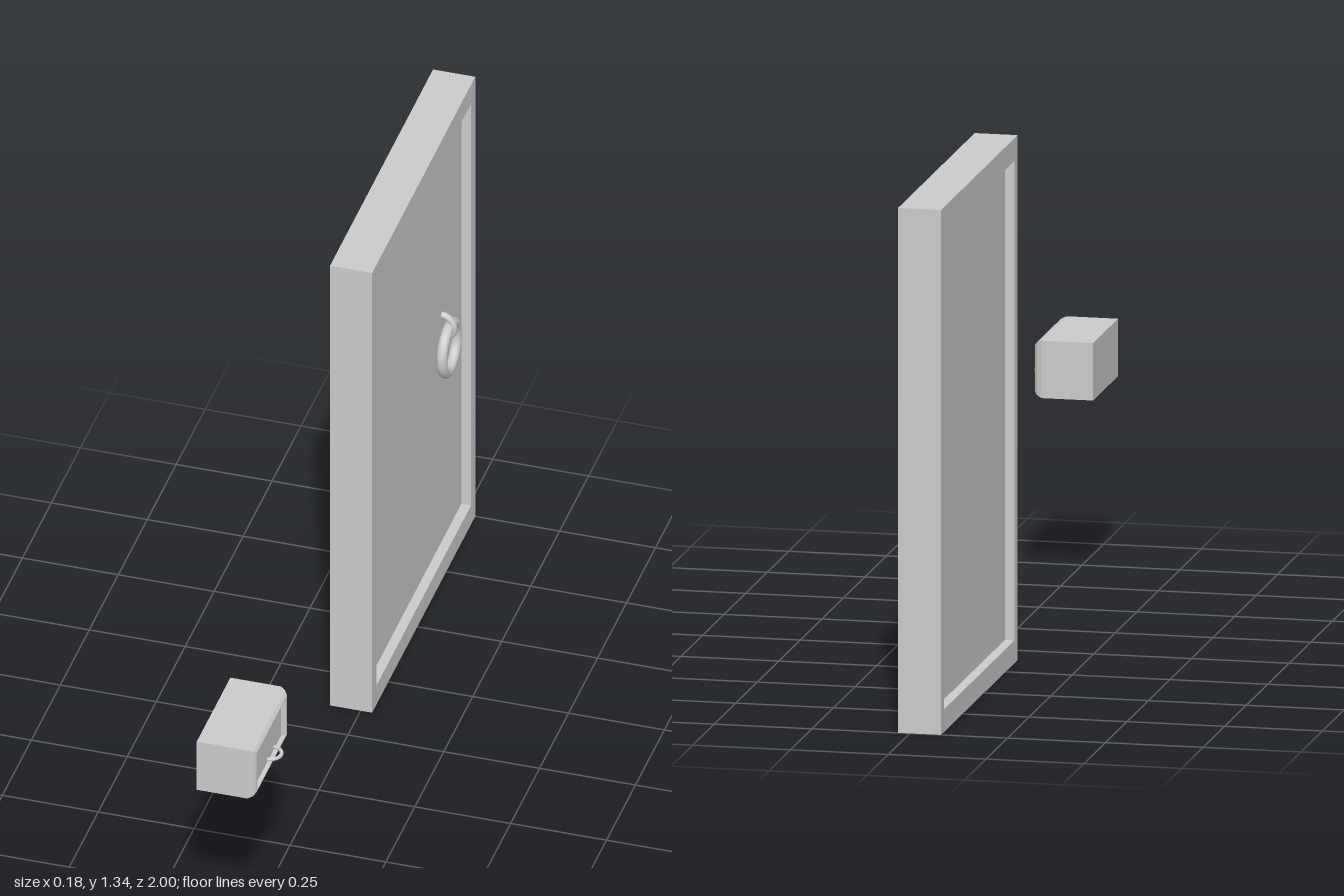
import * as THREE from 'three';

const grey = new THREE.MeshStandardMaterial({ color: 0xcccccc });
const flat = new THREE.MeshStandardMaterial({ color: 0xcccccc, flatShading: true });

function add(parent, name, geometry, material, x, y, z) {
  const mesh = new THREE.Mesh(geometry, material);
  mesh.name = name;
  mesh.position.set(x, y, z);
  parent.add(mesh);
  return mesh;
}

// Lofts rectangles [x, insetY, insetZ] along x and closes both ends.
function rectLoft(height, width, sections) {
  const positions = [], index = [];
  for (const [x, iy, iz] of sections) {
    const h = height / 2 - iy, w = width / 2 - iz;
    positions.push(x, -h, -w, x, h, -w, x, h, w, x, -h, w);
  }
  for (let s = 0; s < sections.length - 1; s++) {
    for (let i = 0; i < 4; i++) {
      const a = s * 4 + i, b = s * 4 + (i + 1) % 4;
      index.push(a, b, b + 4, a, b + 4, a + 4);
    }
  }
  const e = (sections.length - 1) * 4;
  index.push(0, 2, 1, 0, 3, 2, e, e + 1, e + 2, e, e + 2, e + 3);
  const geometry = new THREE.BufferGeometry();
  geometry.setAttribute('position', new THREE.Float32BufferAttribute(positions, 3));
  geometry.setIndex(index);
  const result = geometry.toNonIndexed();
  result.computeVertexNormals();
  return result;
}

export function createModel() {
  const model = new THREE.Group();

  // Door slab with a sunken panel on both faces
  const door = new THREE.Group();
  door.name = 'door';
  model.add(door);
  add(door, 'doorPanel', rectLoft(1.342, 0.89, [
    [-0.055, 0.058, 0.036], [-0.08, 0.058, 0.036], [-0.08, 0, 0],
    [0.03, 0, 0], [0.03, 0.058, 0.036], [0.005, 0.058, 0.036],
  ]), flat, 0, 0.671, -0.555);

  // Ring pull hanging from a staple, leaning outwards at the bottom
  add(door, 'ringStaple', new THREE.TorusGeometry(0.036, 0.009, 12, 32), grey, 0, 0.713, -0.795);
  const ring = add(door, 'ringPull', new THREE.TorusGeometry(0.064, 0.014, 14, 48), grey, 0.024, 0.652, -0.795);
  ring.rotation.set(0, Math.PI / 2, 0.26);

  // Drawer block with a chamfered front and a sunken face
  const drawer = new THREE.Group();
  drawer.name = 'drawer';
  model.add(drawer);
  add(drawer, 'drawerBody', rectLoft(0.147, 0.29, [
    [-0.092, 0, 0], [0.04, 0, 0], [0.053, 0.006, 0.006], [0.06, 0.014, 0.014],
    [0.06, 0.018, 0.022], [0.05, 0.02, 0.032],
  ]), flat, 0, 0.561, 0.855);

  // Half-loop handle
  const handle = add(drawer, 'drawerHandle',
    new THREE.TorusGeometry(0.028, 0.005, 10, 28, Math.PI), grey, 0.055, 0.529, 0.85);
  handle.rotation.set(Math.PI / 2, 0, -Math.PI / 2);
  handle.rotation.order = 'XYZ';
  return model;
}
